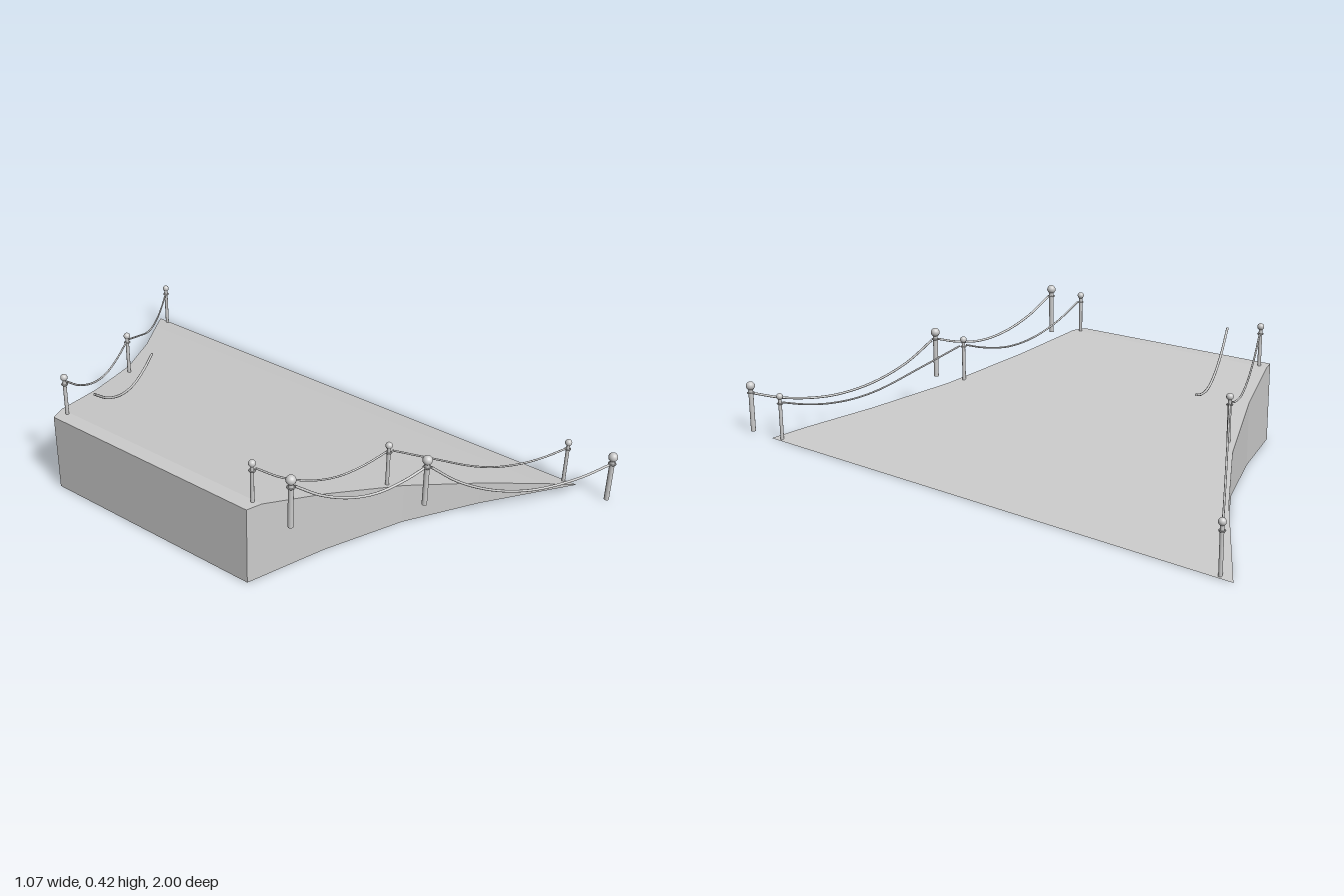
import * as THREE from 'three';

const grey = new THREE.MeshStandardMaterial({ color: 0xcccccc });
const flatGrey = new THREE.MeshStandardMaterial({ color: 0xcccccc, flatShading: true });

// Flared ramp: each station is x, top height, half width about z = -0.065
function makeRamp() {
  const stations = [
    [-0.54, 0.27, 0.4], [-0.49, 0.27, 0.416], [-0.27, 0.213, 0.485], [0, 0.142, 0.595],
    [0.24, 0.08, 0.735], [0.43, 0.03, 0.866], [0.53, 0, 0.935],
  ];
  const rings = stations.map(([x, y, w]) => {
    const back = -0.065 - w, front = -0.065 + w;
    return [[x, y, back], [x, y, front], [x, 0, front], [x, 0, back]];
  });
  const pos = [];
  const quad = (a, b, c, d) => pos.push(...a, ...b, ...c, ...a, ...c, ...d);
  for (let i = 0; i < rings.length - 1; i++) {
    for (let j = 0; j < 4; j++) {
      const k = (j + 1) % 4;
      quad(rings[i][j], rings[i][k], rings[i + 1][k], rings[i + 1][j]);
    }
  }
  const r = rings[0];
  quad(r[0], r[3], r[2], r[1]); // tall end wall
  const geo = new THREE.BufferGeometry();
  geo.setAttribute('position', new THREE.Float32BufferAttribute(pos, 3));
  geo.computeVertexNormals();
  const ramp = new THREE.Mesh(geo, flatGrey);
  ramp.name = 'ramp';
  return ramp;
}

// Post with a ball finial and a hook ring for the ropes
function makePost(x, z, base, ballY, radius, ballRadius) {
  const post = new THREE.Group();
  post.name = 'post';
  const add = (name, geo, y) => {
    const mesh = new THREE.Mesh(geo, grey);
    mesh.name = name;
    mesh.position.y = y;
    post.add(mesh);
    return mesh;
  };
  const height = ballY - base;
  add('postShaft', new THREE.CylinderGeometry(radius, radius, height, 16), base + height / 2);
  add('postBall', new THREE.SphereGeometry(ballRadius, 20, 14), ballY);
  const ring = add('hookRing', new THREE.TorusGeometry(radius + 0.003, 0.0022, 6, 20), ballY - 0.025);
  ring.rotation.x = Math.PI / 2;
  post.position.set(x, 0, z);
  return post;
}

// Sagging rope: profile holds x, y pairs, z runs straight from z0 to z1
function makeRope(profile, x0, z0, x1, z1, radius) {
  const pts = profile.map(([x, y]) =>
    new THREE.Vector3(x, y, z0 + ((x - x0) / (x1 - x0)) * (z1 - z0)));
  const curve = new THREE.CatmullRomCurve3(pts);
  const mesh = new THREE.Mesh(new THREE.TubeGeometry(curve, 40, radius, 8, false),
    new THREE.MeshStandardMaterial({ color: 0xcccccc, side: THREE.DoubleSide }));
  mesh.name = 'rope';
  return mesh;
}

const POST_X = [-0.497, -0.042, 0.519];
const UPPER = [[-0.485, 0.383], [-0.4, 0.317], [-0.3, 0.268], [-0.21, 0.25], [-0.12, 0.259], [-0.052, 0.278]];
const LOWER_DEEP = [[-0.03, 0.275], [0.05, 0.2], [0.15, 0.14], [0.25, 0.108], [0.33, 0.101], [0.43, 0.112], [0.511, 0.137]];
const LOWER = [[-0.03, 0.277], [0.1, 0.208], [0.22, 0.147], [0.3, 0.122], [0.38, 0.114], [0.45, 0.12], [0.511, 0.134]];

// One row of three posts joined by two ropes
function makeRailing(name, zs, bases, balls, postR, ballR, lower, ropeR) {
  const row = new THREE.Group();
  row.name = name;
  POST_X.forEach((x, i) => row.add(makePost(x, zs[i], bases[i], balls[i], postR, ballR)));
  row.add(makeRope(UPPER, POST_X[0], zs[0], POST_X[1], zs[1], ropeR));
  row.add(makeRope(lower, POST_X[1], zs[1], POST_X[2], zs[2], ropeR));
  return row;
}

export function createModel() {
  const model = new THREE.Group();
  model.name = 'rampWithRopeRailings';
  model.add(makeRamp());

  // Slim railings along both edges of the ramp
  const slim = [[0.265, 0.15, 0], [0.405, 0.299, 0.156], 0.006, 0.0115, LOWER, 0.0032];
  model.add(makeRailing('leftRailing', [0.322, 0.492, 0.827], ...slim));
  model.add(makeRailing('rightRailing', [-0.447, -0.617, -0.953], ...slim));

  // Thicker free-standing railing beside the ramp
  model.add(makeRailing('outerRailing', [0.463, 0.631, 0.984],
    [0.245, 0.14, 0], [0.409, 0.304, 0.165], 0.0085, 0.0157, LOWER_DEEP, 0.0042));

  // Loose rope hanging inside the right edge
  const loose = makeRope(UPPER, POST_X[0], -0.32, POST_X[1], -0.492, 0.0042);
  loose.name = 'looseRope';
  model.add(loose);
  return model;
}
